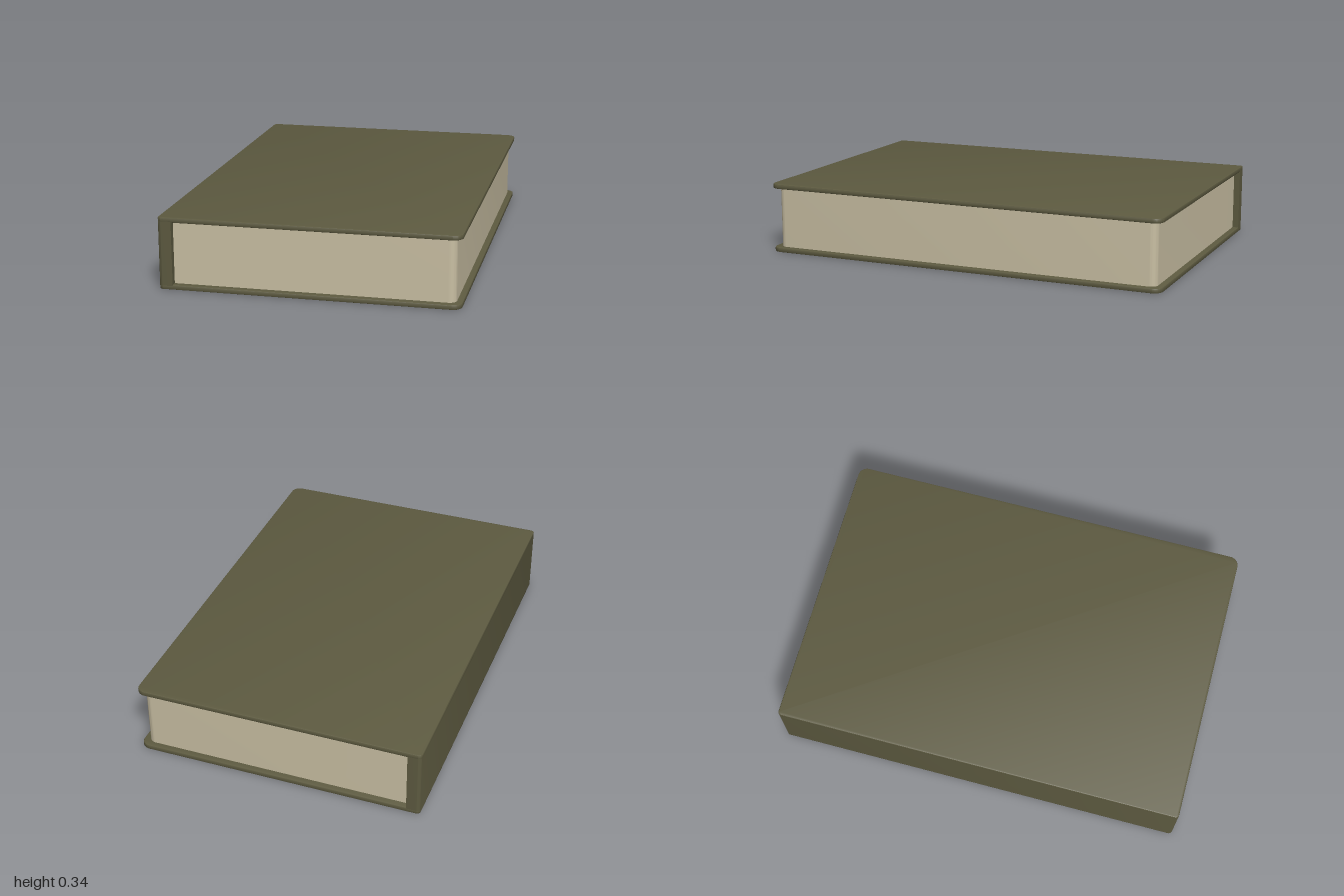
import * as THREE from 'three';
import { toCreasedNormals } from 'three/addons/utils/BufferGeometryUtils.js';

// Flat slab lying in xz, with separate corner radii on its -x and +x sides
function slab(x0, x1, halfZ, y0, y1, rLeft, rRight, bevel = 0) {
  const s = new THREE.Shape();
  s.moveTo(x0 + rLeft, -halfZ);
  s.lineTo(x1 - rRight, -halfZ);
  if (rRight) s.absarc(x1 - rRight, -halfZ + rRight, rRight, -Math.PI / 2, 0);
  s.lineTo(x1, halfZ - rRight);
  if (rRight) s.absarc(x1 - rRight, halfZ - rRight, rRight, 0, Math.PI / 2);
  s.lineTo(x0 + rLeft, halfZ);
  if (rLeft) s.absarc(x0 + rLeft, halfZ - rLeft, rLeft, Math.PI / 2, Math.PI);
  s.lineTo(x0, -halfZ + rLeft);
  if (rLeft) s.absarc(x0 + rLeft, -halfZ + rLeft, rLeft, Math.PI, Math.PI * 1.5);
  const g = new THREE.ExtrudeGeometry(s, {
    depth: y1 - y0 - 2 * bevel,
    curveSegments: 8,
    bevelEnabled: bevel > 0,
    bevelThickness: bevel,
    bevelSize: bevel,
    bevelOffset: -bevel,
    bevelSegments: 2,
  });
  g.rotateX(-Math.PI / 2);
  g.translate(0, y0 + bevel, 0);
  return toCreasedNormals(g, 0.6);
}

export function createModel() {
  const book = new THREE.Group();
  book.name = 'book';

  const cover = new THREE.MeshStandardMaterial({ color: 0x5d5a40 });
  cover.name = 'olive cover';
  const paper = new THREE.MeshStandardMaterial({ color: 0xc9bfa3 });
  paper.name = 'cream paper';

  const add = (name, geometry, material) => {
    const mesh = new THREE.Mesh(geometry, material);
    mesh.name = name;
    book.add(mesh);
  };

  // Boards, rounded at the opening edge
  add('bottomCover', slab(-0.695, 0.693, 1, 0, 0.023, 0.018, 0.045, 0.005), cover);
  add('topCover', slab(-0.695, 0.693, 1, 0.317, 0.34, 0.018, 0.045, 0.005), cover);

  // Spine, running into both boards
  add('spine', slab(-0.695, -0.63, 1, 0.01, 0.33, 0.018, 0), cover);

  // Page block, set back from the boards
  add('pages', slab(-0.64, 0.665, 0.97, 0.015, 0.325, 0, 0.035), paper);

  return book;
}
